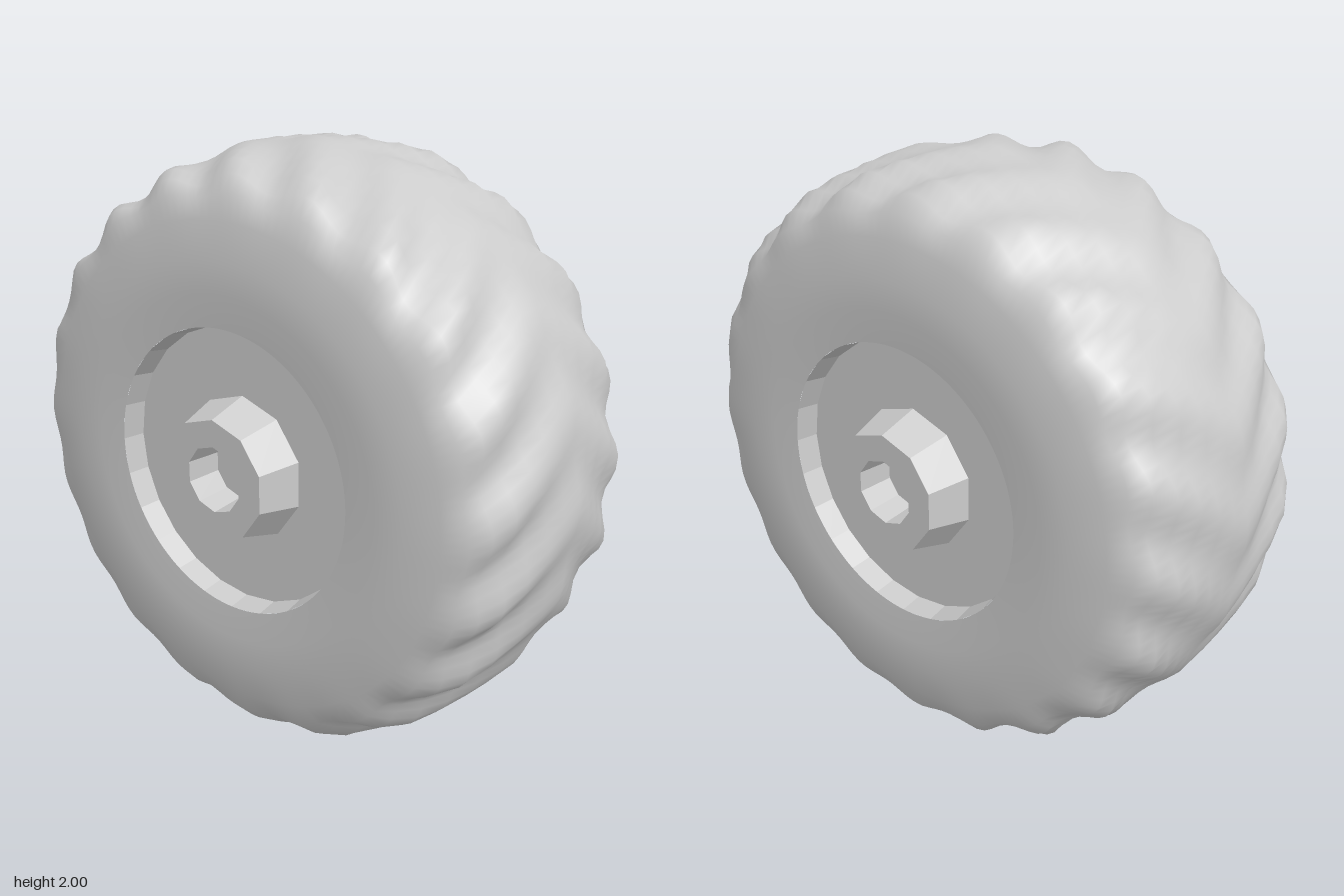
import * as THREE from 'three';
import { mergeVertices } from 'three/addons/utils/BufferGeometryUtils.js';

const LUGS = 20;

// Lathe a [radius, z] profile about the z axis
function latheZ(profile, segments) {
  const points = profile.map(([r, z]) => new THREE.Vector2(r, z));
  return new THREE.LatheGeometry(points, segments).rotateX(Math.PI / 2);
}

// Smooth tyre with shallow chevron lugs pressed into the tread
function tyreGeometry() {
  const half = [[0.472, 0.447], [0.58, 0.455], [0.68, 0.455], [0.8, 0.435], [0.88, 0.41], [0.93, 0.365],
    [0.965, 0.3], [0.98, 0.22], [0.988, 0.14], [0.995, 0.07]];
  const profile = [...half.map(([r, z]) => [r, -z]), [1, 0], ...half.slice().reverse()];
  let geometry = latheZ(profile, 160);
  geometry.deleteAttribute('uv');
  geometry.deleteAttribute('normal');
  geometry = mergeVertices(geometry, 1e-5);

  const pos = geometry.attributes.position;
  for (let i = 0; i < pos.count; i++) {
    const x = pos.getX(i), y = pos.getY(i), z = Math.abs(pos.getZ(i));
    const r = Math.hypot(x, y);
    const tread = THREE.MathUtils.smoothstep(r, 0.82, 0.95);
    const depth = tread * (0.018 + 0.03 * THREE.MathUtils.smoothstep(z, 0.05, 0.3));
    const wave = 0.5 - 0.5 * Math.cos(LUGS * (Math.atan2(y, x) + 0.8 * z));
    const k = 1 - depth * wave;
    pos.setXY(i, x * k, y * k);
  }
  geometry.computeVertexNormals();
  return geometry;
}

export function createModel() {
  const wheel = new THREE.Group();
  wheel.name = 'wheel';
  const smooth = new THREE.MeshStandardMaterial({ color: 0xcccccc });
  const flat = new THREE.MeshStandardMaterial({ color: 0xcccccc, flatShading: true });

  const add = (parent, name, geometry, material) => {
    const mesh = new THREE.Mesh(geometry, material);
    mesh.name = name;
    parent.add(mesh);
  };

  add(wheel, 'tyre', tyreGeometry(), smooth);

  // Recessed rim disc and hub with a blind axle hole, repeated on both sides
  const rim = latheZ([[0.475, 0.447], [0.462, 0.37], [0.2, 0.37]], 24);
  const hub = latheZ([[0.24, 0.37], [0.2, 0.51], [0.11, 0.51], [0.1, 0.39], [0, 0.39]], 10);
  for (const side of ['front', 'back']) {
    const group = new THREE.Group();
    group.name = side + 'Side';
    group.rotation.y = side === 'front' ? 0 : Math.PI;
    add(group, side + 'Rim', rim, flat);
    add(group, side + 'Hub', hub, flat);
    wheel.add(group);
  }

  wheel.position.y = 1;
  const model = new THREE.Group();
  model.add(wheel);
  return model;
}
